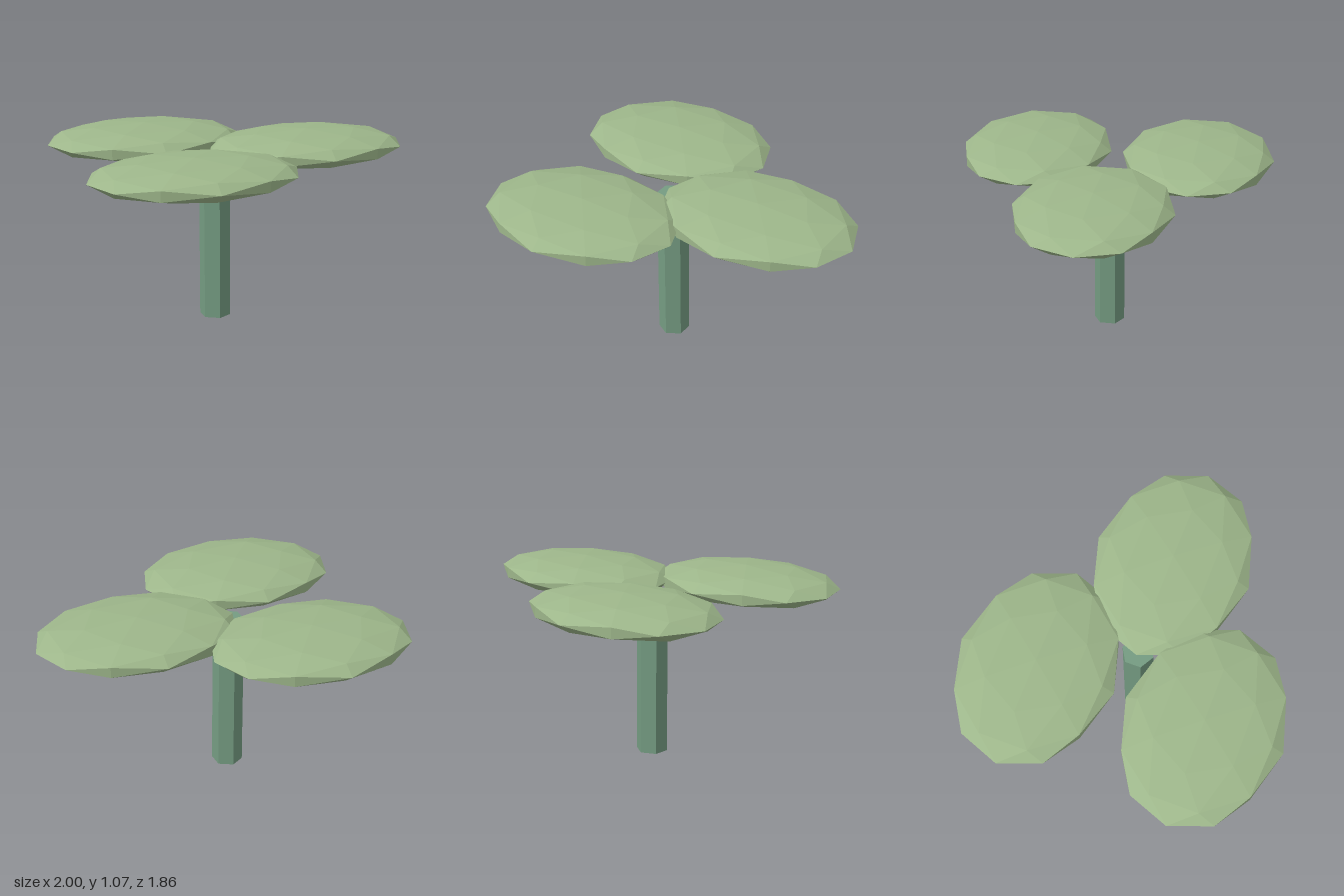
import * as THREE from 'three';

export function createModel() {
  const group = new THREE.Group();
  const leafGreen = new THREE.MeshStandardMaterial({ color: 0x9db68a, flatShading: true });
  leafGreen.name = 'leafGreen';
  const stemGreen = new THREE.MeshStandardMaterial({ color: 0x759c82, flatShading: true });
  stemGreen.name = 'stemGreen';

  // Six-sided stem
  const stemHeight = 0.95;
  const stem = new THREE.Mesh(new THREE.CylinderGeometry(0.09, 0.09, stemHeight, 6), stemGreen);
  stem.name = 'stem';
  stem.position.set(-0.142, stemHeight / 2, 0);
  group.add(stem);

  // Three flattened, faceted leaves around the stem
  const leafGeometry = new THREE.IcosahedronGeometry(1, 1).scale(0.584, 0.097, 0.447);
  const leaves = [
    ['leftLeaf', 0.416, 0],
    ['frontRightLeaf', -0.416, 0.481],
    ['backRightLeaf', -0.416, -0.481],
  ];
  for (const [name, x, z] of leaves) {
    const leaf = new THREE.Mesh(leafGeometry, leafGreen);
    leaf.name = name;
    leaf.position.set(x, 0.973, z);
    group.add(leaf);
  }
  return group;
}
